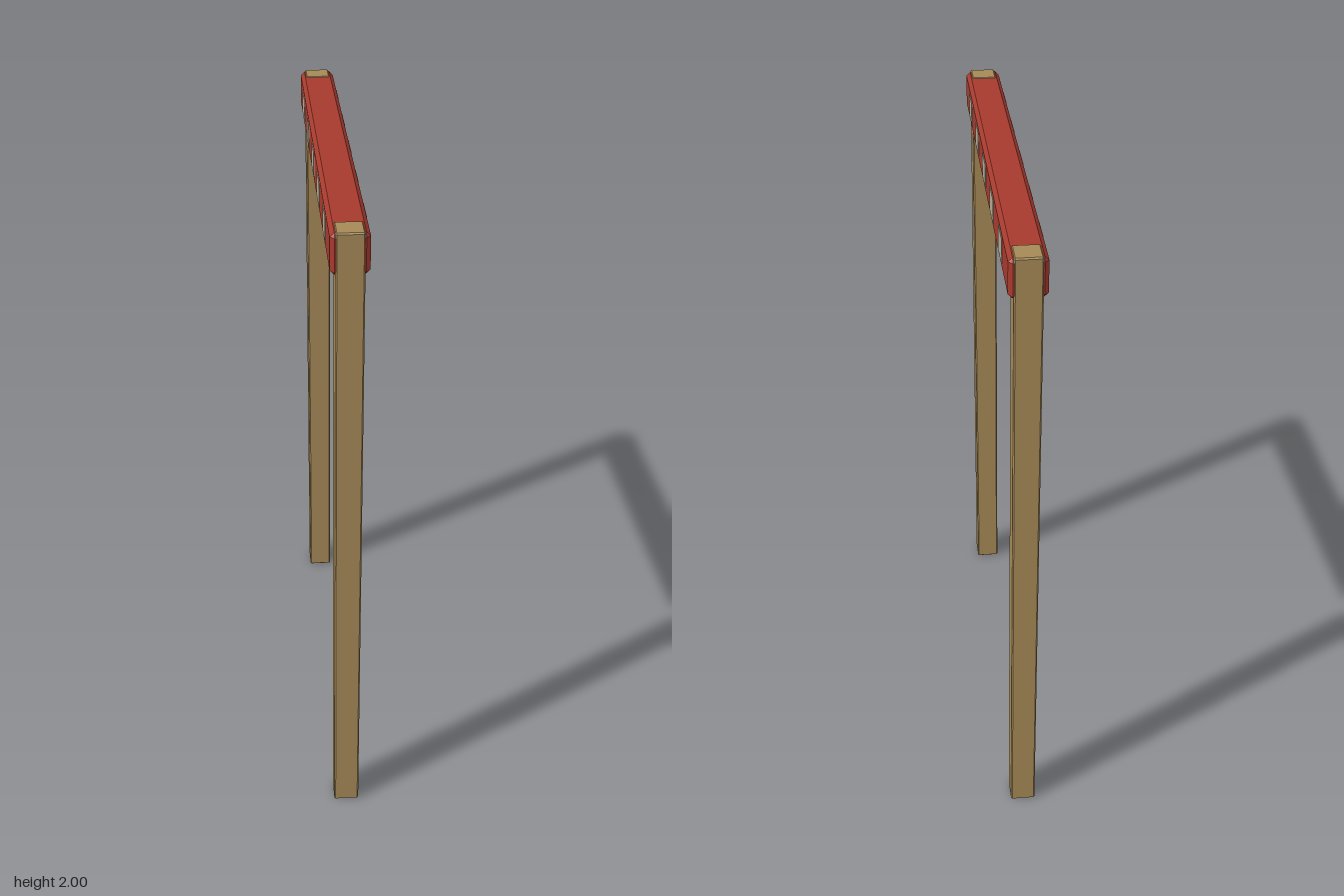
import * as THREE from 'three';
import { ConvexGeometry } from 'three/addons/geometries/ConvexGeometry.js';

// Box centred on its origin with every edge chamfered by c
function chamferedBox(w, h, d, c) {
  const points = [];
  for (const sx of [-1, 1]) for (const sy of [-1, 1]) for (const sz of [-1, 1]) {
    const x = w / 2, y = h / 2, z = d / 2;
    points.push(
      new THREE.Vector3(sx * x, sy * (y - c), sz * (z - c)),
      new THREE.Vector3(sx * (x - c), sy * y, sz * (z - c)),
      new THREE.Vector3(sx * (x - c), sy * (y - c), sz * z));
  }
  return new ConvexGeometry(points);
}

export function createModel() {
  const group = new THREE.Group();
  const material = (name, color) => {
    const m = new THREE.MeshStandardMaterial({ color, flatShading: true });
    m.name = name;
    return m;
  };
  const wood = material('wood', 0xa58957);
  const red = material('red paint', 0xa63a2e);
  const pale = material('pale paint', 0xb5a993);

  const add = (name, geometry, mat, x, y, z) => {
    const mesh = new THREE.Mesh(geometry, mat);
    mesh.name = name;
    mesh.position.set(x, y, z);
    group.add(mesh);
  };

  // Two upright posts
  const post = chamferedBox(0.078, 2, 0.078, 0.004);
  add('frontPost', post, wood, 0, 1, 0.636);
  add('backPost', post, wood, 0, 1, -0.636);

  // Crossbar, a hair shorter and lower than the posts
  add('crossbar', chamferedBox(0.106, 0.117, 1.346, 0.012), red, 0, 1.939, 0);

  // Five pale patches on each side of the crossbar
  const patch = new THREE.BoxGeometry(0.006, 0.073, 0.092);
  for (const side of [-1, 1])
    for (let i = -2; i <= 2; i++)
      add(side > 0 ? 'leftPatch' : 'rightPatch', patch, pale, side * 0.0525, 1.943, i * 0.237);

  return group;
}
